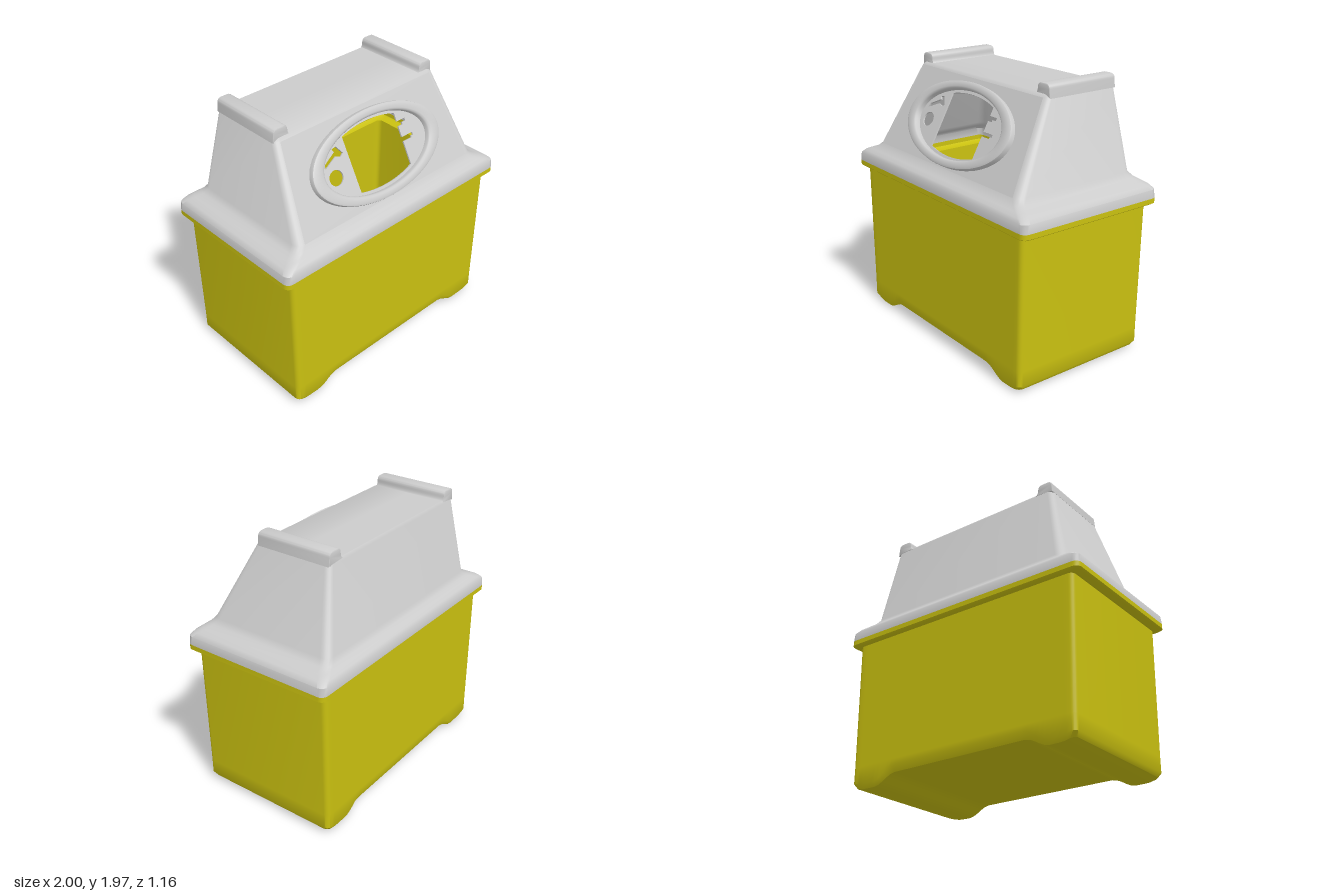
import * as THREE from 'three';
import { toCreasedNormals } from 'three/addons/utils/BufferGeometryUtils.js';

const grey = new THREE.MeshStandardMaterial({ color: 0xcccccc, side: THREE.DoubleSide });
const yellow = new THREE.MeshStandardMaterial({ color: 0xc9c010, side: THREE.DoubleSide });

// Rounded rectangle at height y, counter-clockwise from above; the front edge closes the loop
function ring(y, x, front, back, r, n = 1) {
  const pts = [];
  const corners = [[1, front - r], [1, back + r], [-1, back + r], [-1, front - r]];
  corners.forEach(([sx, cz], c) => {
    for (let i = 0; i <= 5; i++) {
      const a = (c - 1 + i / 5) * Math.PI / 2;
      pts.push(new THREE.Vector3(sx * (x - r) + r * Math.cos(a), y, cz - r * Math.sin(a)));
    }
    if (c % 2) { // subdivide the long edges
      const dir = c === 1 ? -1 : 1;
      for (let i = 1; i < n; i++) {
        pts.push(new THREE.Vector3(dir * (x - r) * (2 * i / n - 1), y, c === 1 ? back : front));
      }
    }
  });
  return pts;
}

// Skin a list of rings; openBand leaves the front face of one band open
function loft(rings, crease, openBand = -1) {
  const n = rings[0].length, index = [];
  for (let j = 0; j < rings.length - 1; j++) {
    for (let i = 0; i < n; i++) {
      if (j === openBand && i === n - 1) continue;
      const a = j * n + i, b = j * n + (i + 1) % n;
      index.push(a, b, b + n, a, b + n, a + n);
    }
  }
  const geo = new THREE.BufferGeometry().setFromPoints(rings.flat());
  geo.setIndex(index);
  return toCreasedNormals(geo, crease);
}

function add(parent, name, geo, mat) {
  const mesh = new THREE.Mesh(geo, mat);
  mesh.name = name;
  parent.add(mesh);
  return mesh;
}

const flatten = (pts, z) => pts.map(p => new THREE.Vector3(p.x, p.y, z));
const polygon = list => list.map(([x, y]) => new THREE.Vector2(x, y));

// Bin with two feet, an arched underside and a rolled rim
function binGeometry() {
  const N = 48;
  const bottom = (x, inset, foot, arch) => ring(0, x, 0.54 - inset, -0.54 + inset, 0.035, N).map(p => {
    const ax = Math.abs(p.x);
    p.y = foot + (arch - foot) * (1 - THREE.MathUtils.smoothstep(ax, 0.54, 0.72));
    p.y += 0.02 * THREE.MathUtils.smoothstep(ax, 0.8, 0.92);
    return p;
  });
  const floor = bottom(0.9, 0.02, 0, 0.07);
  return loft([
    flatten(floor, 0),
    floor,
    bottom(0.92, 0, 0.03, 0.12),
    ring(0.16, 0.92, 0.54, -0.54, 0.035, N),
    ring(1.1, 0.935, 0.54, -0.54, 0.035, N),
    ring(1.105, 0.985, 0.565, -0.565, 0.04, N),
    ring(1.115, 1, 0.578, -0.578, 0.045, N),
    ring(1.15, 1, 0.578, -0.578, 0.045, N),
  ], 0.65);
}

export function createModel() {
  const model = new THREE.Group();
  add(model, 'bin', binGeometry(), yellow);

  // Lid shell: flared shoulder, tapered hood, flat top
  const slope = 0.55, lowY = 1.31, highY = 1.88, midY = 1.585, lowZ = 0.485;
  const zAt = y => lowZ - slope * (y - lowY);
  const top = ring(1.9, 0.7, 0.15, -0.405, 0.035);
  add(model, 'lid', loft([
    ring(1.15, 1, 0.578, -0.578, 0.045),
    ring(1.21, 0.995, 0.577, -0.577, 0.05),
    ring(1.235, 0.965, 0.56, -0.56, 0.055),
    ring(1.255, 0.92, 0.535, -0.535, 0.06),
    ring(1.275, 0.87, 0.51, -0.51, 0.06),
    ring(lowY, 0.832, lowZ, -0.487, 0.06),
    ring(highY, 0.718, zAt(highY), -0.418, 0.04),
    top,
    flatten(top, -0.13),
  ], 0.8, 5), grey);

  // Everything on the sloping front shares one tilted frame
  const face = new THREE.Group();
  face.name = 'slopingFront';
  face.position.set(0, midY, zAt(midY));
  face.rotation.x = -Math.atan(slope);
  model.add(face);
  const along = y => (y - midY) * Math.hypot(1, slope);

  const panel = new THREE.Shape(polygon([
    [-0.772, along(lowY)], [0.772, along(lowY)], [0.678, along(highY)], [-0.678, along(highY)],
  ]));
  panel.holes.push(new THREE.Path().absellipse(0, 0, 0.5, 0.265, 0, Math.PI * 2, true));
  add(face, 'frontPanel', new THREE.ShapeGeometry(panel, 48), grey);

  // Raised oval collar around the opening
  const oval = ([rx, ry, h]) => Array.from({ length: 72 }, (_, i) => {
    const a = i / 72 * Math.PI * 2;
    return new THREE.Vector3(rx * Math.cos(a), ry * Math.sin(a), h);
  });
  add(face, 'collar', loft([
    [0.577, 0.303, -0.01], [0.577, 0.303, 0.026], [0.573, 0.3, 0.036], [0.56, 0.288, 0.042],
    [0.495, 0.26, 0.042], [0.482, 0.25, 0.036], [0.475, 0.245, 0.026], [0.475, 0.245, -0.02],
  ].map(oval), 0.7), grey);

  // Plate inside the collar: notched drop opening, round hole and T-shaped slot
  const plate = new THREE.Shape().absellipse(0, 0, 0.477, 0.247, 0, Math.PI * 2);
  const opening = [
    [0.26, -0.02], [0.34, -0.02], [0.34, -0.008], [0.36, -0.008], [0.36, 0.012], [0.26, 0.012],
    [0.26, 0.09], [0.3, 0.09], [0.3, 0.105], [0.335, 0.105], [0.335, 0.125], [0.26, 0.125],
  ];
  const edge = x => 0.225 * Math.sqrt(1 - (x / 0.455) ** 2);
  for (let i = 0; i <= 16; i++) opening.push([0.26 - 0.03 * i, edge(0.26 - 0.03 * i)]);
  for (let i = 0; i <= 16; i++) opening.push([-0.22 + 0.03 * i, -edge(-0.22 + 0.03 * i)]);
  plate.holes.push(
    new THREE.Path(polygon(opening)),
    new THREE.Path().absellipse(-0.37, -0.03, 0.057, 0.052, 0, Math.PI * 2),
    new THREE.Path(polygon([
      [-0.43, 0.05], [-0.32, 0.1], [-0.28, 0.085], [-0.255, 0.1],
      [-0.295, 0.16], [-0.33, 0.15], [-0.32, 0.13], [-0.42, 0.08],
    ])),
  );
  const plateGeo = new THREE.ExtrudeGeometry(plate, { depth: 0.012, bevelEnabled: false, curveSegments: 36 });
  add(face, 'dropPlate', plateGeo, grey).position.z = -0.015;

  // Rounded ridges along both ends of the top
  const ridge = new THREE.Shape();
  ridge.moveTo(0.575, 1.89);
  ridge.quadraticCurveTo(0.598, 1.9, 0.598, 1.935);
  ridge.quadraticCurveTo(0.6, 1.967, 0.635, 1.967);
  ridge.lineTo(0.68, 1.967);
  ridge.quadraticCurveTo(0.712, 1.965, 0.714, 1.935);
  ridge.lineTo(0.72, 1.875);
  for (const side of [1, -1]) {
    const geo = new THREE.ExtrudeGeometry(ridge, {
      depth: 0.55, bevelThickness: 0.008, bevelSize: 0.006, bevelOffset: -0.006, bevelSegments: 2, curveSegments: 6,
    });
    const mesh = add(model, side > 0 ? 'leftRidge' : 'rightRidge', toCreasedNormals(geo, 0.6), grey);
    mesh.position.z = -0.407;
    mesh.scale.x = side;
  }
  return model;
}
